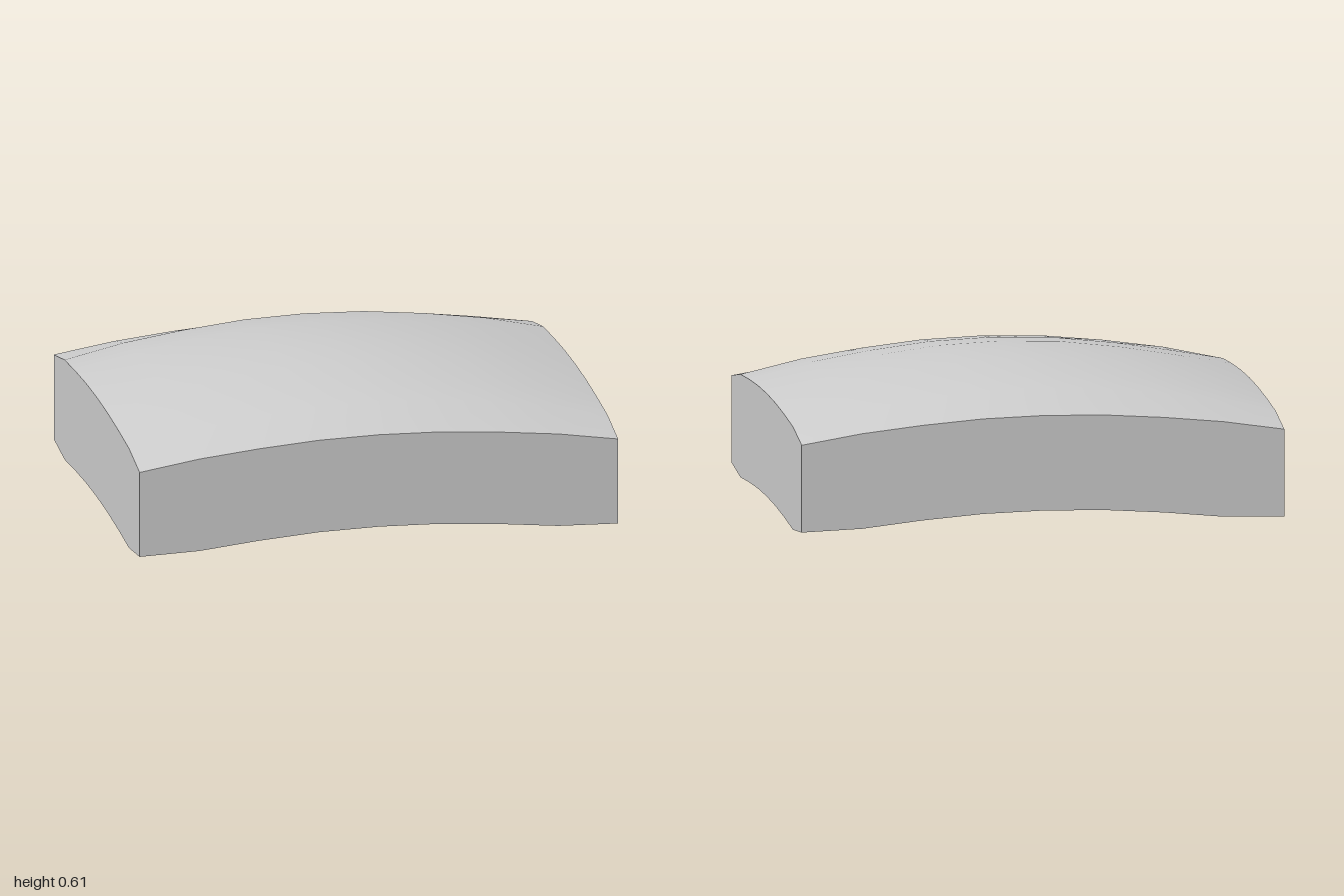
import * as THREE from 'three';

// Drop of the domed top from its centre, per grid step outwards
const DROP_X = [0, 0.01, 0.042, 0.087, 0.155];
const DROP_Z = [0, 0.007, 0.027, 0.057, 0.135];
const PEAK = 0.612;
const WIDTH = 2, DEPTH = 1.59;

function topHeight(i, j) {
  const a = DROP_X[i], b = DROP_Z[j];
  // the two drops soften each other towards the corners
  return PEAK - a - b + 0.065 * (a / 0.155) * (b / 0.135);
}

// Even thickness, thinner along the outer rim
function thickness(i, j) {
  return 0.459 - (i === 4 ? 0.032 : 0) - (j === 4 ? 0.065 : 0);
}

export function createModel() {
  const group = new THREE.Group();
  group.name = 'curvedSlab';

  // Box grid bent into a dome; the six sides keep their own normals, so rims stay sharp
  const geometry = new THREE.BoxGeometry(WIDTH, 1, DEPTH, 8, 1, 8);
  const pos = geometry.attributes.position;
  for (let n = 0; n < pos.count; n++) {
    const i = Math.round(Math.abs(pos.getX(n)) / (WIDTH / 8));
    const j = Math.round(Math.abs(pos.getZ(n)) / (DEPTH / 8));
    const top = topHeight(i, j);
    pos.setY(n, pos.getY(n) > 0 ? top : top - thickness(i, j));
  }
  geometry.computeVertexNormals();

  const slab = new THREE.Mesh(geometry, new THREE.MeshStandardMaterial({ color: 0xcccccc }));
  slab.name = 'domedCushion';
  group.add(slab);
  return group;
}
